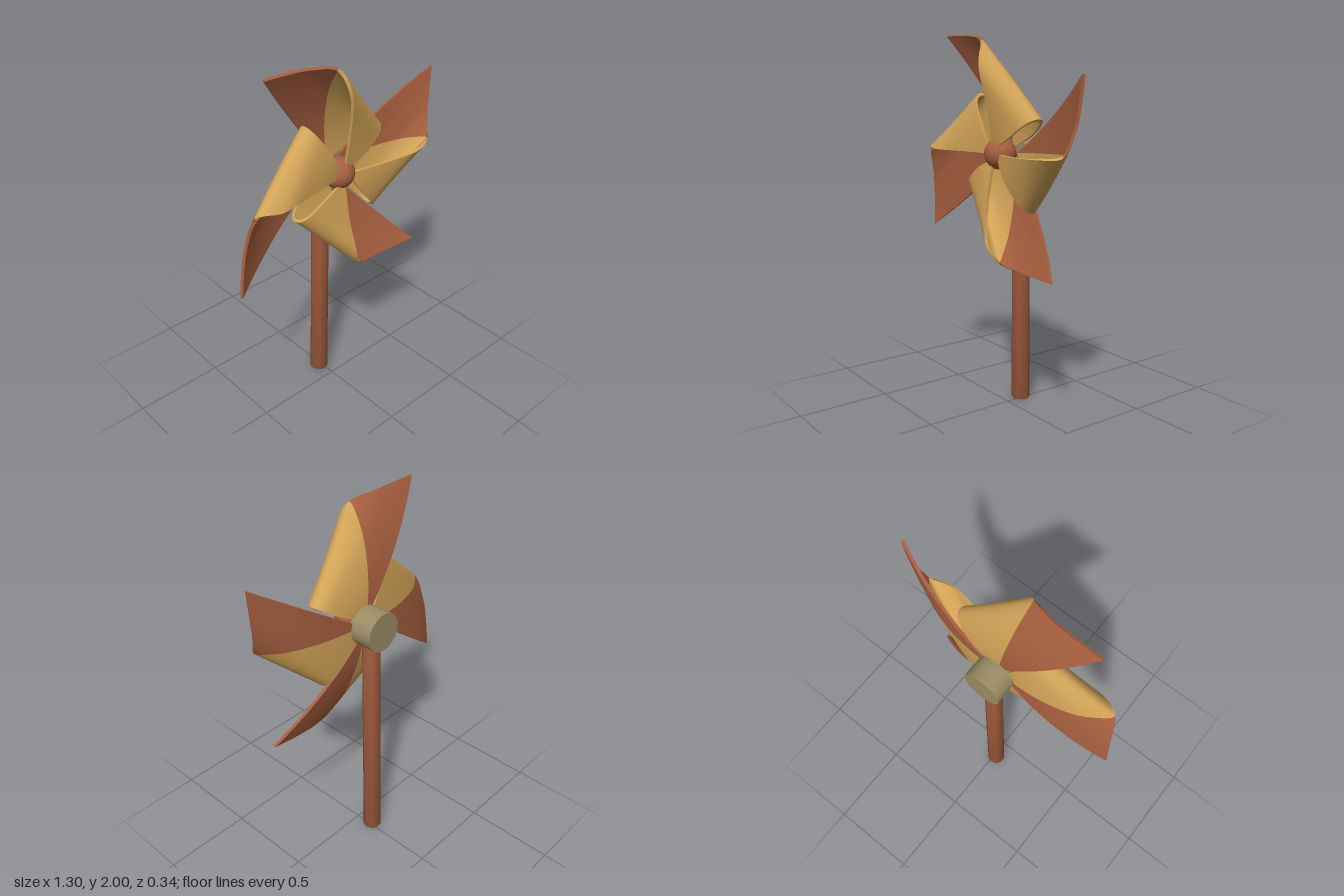
import * as THREE from 'three';
import { toCreasedNormals } from 'three/addons/utils/BufferGeometryUtils.js';

const V = (x, y, z) => new THREE.Vector3(x, y, z);
const CENTRE_Y = 1.38, HALF = 0.008;

// Curled sail: curves leave the straight back edge, roll over and meet at the hub front.
function sailSurface({ tip, crest, corner }) {
  const root = V(0, 0.03, -0.045), pin = V(0, 0.03, 0.09);
  const bent = (f, z) => V(corner[0] * f, corner[1] * f, z);
  const inner = [root, bent(0.53, -0.04), bent(0.92, -0.012), bent(1, 0.04), bent(0.84, 0.085), bent(0.42, 0.1), pin];
  const a = V(...tip), c = V(crest[0], crest[1], 0.12);
  const p1 = a.clone().lerp(c, 0.33), p2 = a.clone().lerp(c, 0.67);
  p1.add(V(0, 0.01, -0.015));
  p2.add(V(0, 0.015, -0.02));
  const outer = [a, p1, p2, c, V(crest[0] * 0.35, 0.45, 0.162), V(0, 0.25, 0.13), pin];
  return (u, v) => {
    const curve = new THREE.CatmullRomCurve3(inner.map((p, i) => p.clone().lerp(outer[i], u)), false, 'catmullrom', 0.5);
    const p = curve.getPoint(v);
    p.z -= 0.14 * u * (1 - u) * (1 - v) * (1 - v);
    return p;
  };
}

// v at which a curve crosses the radial colour line
function colourLine(surface, crest, u) {
  let lo = 0, hi = 0.5;
  for (let i = 0; i < 18; i++) {
    const mid = (lo + hi) / 2, p = surface(u, mid);
    if (p.x < (crest[0] / crest[1]) * p.y) lo = mid; else hi = mid;
  }
  return hi;
}

function surfaceNormal(surface, u, v) {
  const d = 0.01;
  u = THREE.MathUtils.clamp(u, 0.03, 0.97);
  v = THREE.MathUtils.clamp(v, 0.03, 0.96);
  const du = surface(u + d, v).sub(surface(u - d, v));
  const dv = surface(u, v + d).sub(surface(u, v - d));
  return du.cross(dv).normalize();
}

// Thin closed panel over u in 0..1 and v between range(u)
function panelGeometry(surface, range, nu, nv) {
  const pos = [], idx = [], ring = 2 * (nv + 1);
  for (let i = 0; i <= nu; i++) {
    const u = i / nu, [v0, v1] = range(u), front = [], back = [];
    for (let j = 0; j <= nv; j++) {
      const v = v0 + (v1 - v0) * j / nv;
      const p = surface(u, v), n = surfaceNormal(surface, u, v).multiplyScalar(HALF);
      front.push(p.clone().add(n));
      back.unshift(p.clone().sub(n));
    }
    [...front, ...back].forEach(p => pos.push(p.x, p.y, p.z));
  }
  for (let i = 0; i < nu; i++) {
    for (let j = 0; j < ring; j++) {
      const a = i * ring + j, b = i * ring + (j + 1) % ring;
      idx.push(a, a + ring, b + ring, a, b + ring, b);
    }
  }
  // rims at both ends
  for (let j = 0; j < nv; j++) {
    const t = j, s = j + 1, bt = ring - 1 - j, bs = ring - 2 - j, e = nu * ring;
    idx.push(e + t, e + bt, e + bs, e + t, e + bs, e + s);
    idx.push(t, bs, bt, t, s, bs);
  }
  const g = new THREE.BufferGeometry();
  g.setAttribute('position', new THREE.Float32BufferAttribute(pos, 3));
  g.setIndex(idx);
  g.computeVertexNormals();
  return toCreasedNormals(g, 0.9);
}

export function createModel() {
  const model = new THREE.Group();
  model.name = 'pinwheel';
  const material = (name, color) => {
    const m = new THREE.MeshStandardMaterial({ color });
    m.name = name;
    return m;
  };
  const brown = material('russet brown', 0xa75f3f);
  const yellow = material('ochre yellow', 0xd2a357);
  const khaki = material('khaki', 0x9c8d65);
  const add = (parent, name, geometry, mat) => {
    const m = new THREE.Mesh(geometry, mat);
    m.name = name;
    parent.add(m);
    return m;
  };

  // Stick, slightly tapered and leaning
  const profile = [[0, 0], [0.046, 0], [0.051, 0.008], [0.046, 1.32], [0, 1.32]].map(p => new THREE.Vector2(...p));
  const stick = add(model, 'stick', toCreasedNormals(new THREE.LatheGeometry(profile, 32), 0.6), brown);
  stick.position.set(-0.015, 0, -0.1);
  stick.rotation.set(0.009, 0, -0.011);

  // Hub drum behind the sails, axle and front knob
  const drum = add(model, 'hubDrum', new THREE.CylinderGeometry(0.105, 0.105, 0.135, 40), khaki);
  drum.rotation.x = Math.PI / 2;
  drum.position.set(0.003, CENTRE_Y, -0.1075);
  const axle = add(model, 'axle', new THREE.CylinderGeometry(0.03, 0.03, 0.12, 20), brown);
  axle.rotation.x = Math.PI / 2;
  axle.position.set(0, CENTRE_Y, 0);
  add(model, 'frontKnob', new THREE.SphereGeometry(0.084, 32, 20), brown).position.set(0, CENTRE_Y, 0.05);

  // Four sails, clockwise from the top, each shaped a little differently
  const sails = [
    { tip: [-0.46, 0.615, 0.07], crest: [-0.07, 0.575], corner: [0.285, 0.18] },
    { tip: [-0.4, 0.645, 0.06], crest: [-0.03, 0.58], corner: [0.28, 0.24] },
    { tip: [-0.51, 0.585, 0.12], crest: [-0.09, 0.56], corner: [0.27, 0.18] },
    { tip: [-0.46, 0.645, 0.055], crest: [-0.01, 0.575], corner: [0.3, 0.195] },
  ];
  sails.forEach((spec, k) => {
    const sail = new THREE.Group();
    sail.name = 'sail' + (k + 1);
    sail.position.y = CENTRE_Y;
    sail.rotation.z = -k * Math.PI / 2;
    const surface = sailSurface(spec);
    const line = u => colourLine(surface, spec.crest, u);
    add(sail, 'sailTipPanel', panelGeometry(surface, u => [0, line(u)], 24, 16), brown);
    add(sail, 'sailCurlPanel', panelGeometry(surface, u => [line(u), 1], 24, 32), yellow);
    model.add(sail);
  });
  return model;
}
